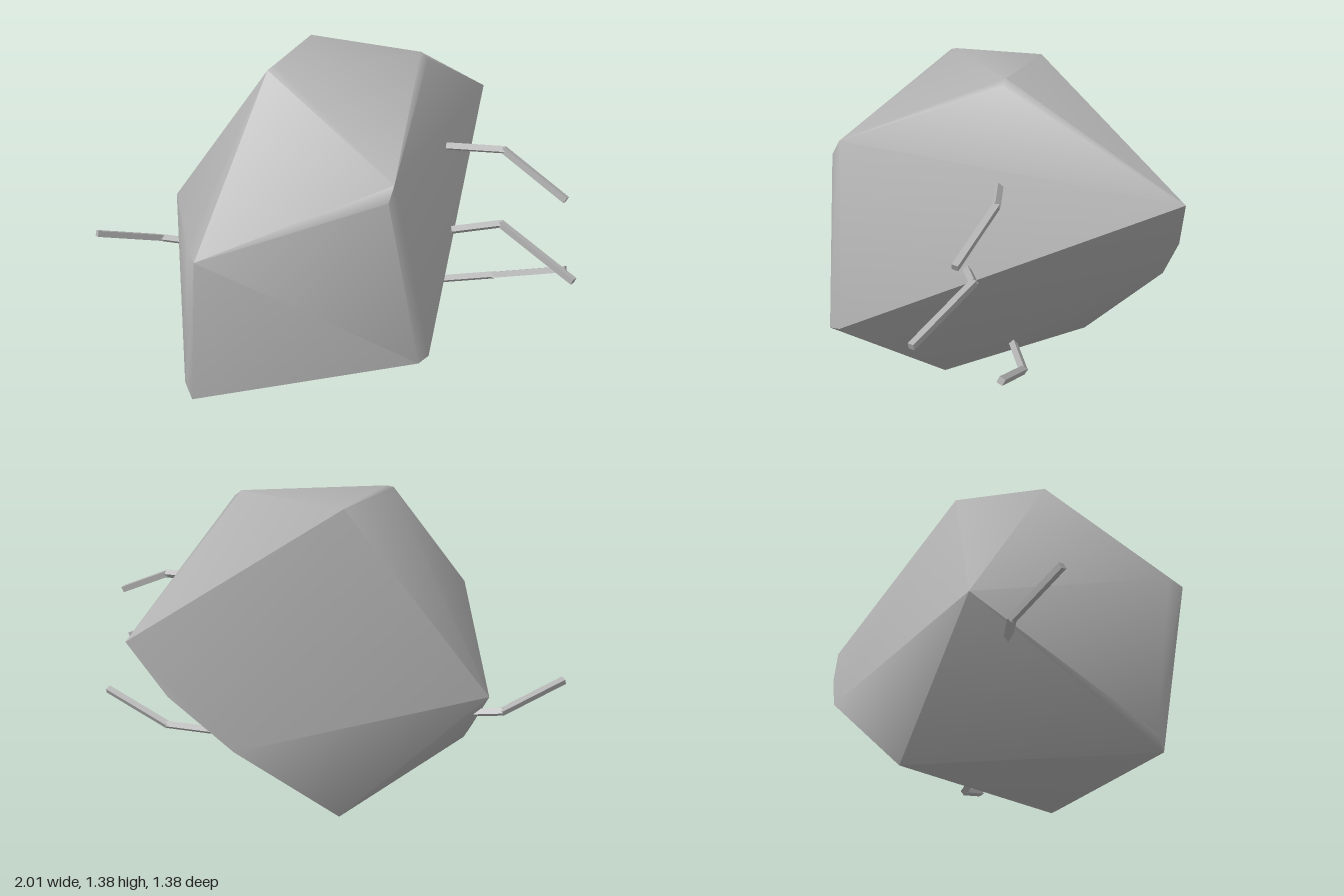
import * as THREE from 'three';
import { toCreasedNormals } from 'three/addons/utils/BufferGeometryUtils.js';
import { ConvexGeometry } from 'three/addons/geometries/ConvexGeometry.js';

const grey = new THREE.MeshStandardMaterial({ color: 0xb0b0b0 });
grey.name = 'stoneGrey';

const vec = (p) => new THREE.Vector3(...p);

// Corner points of the boulder; close pairs make the chipped corners
const corners = [
  // front face
  [-0.56, 0.065, 0.55], [-0.59, 0.13, 0.52],
  [-0.50, 0.80, 0.68], [-0.53, 0.82, 0.62],
  [0.25, 1.12, 0.63], [0.23, 1.06, 0.66],
  [0.40, 0.38, 0.65], [0.36, 0.37, 0.69],
  // underside
  [0.02, 0.005, 0.22], [-0.02, 0, 0.23], [-0.12, 0.13, -0.41],
  // left-hand point
  [-0.70, 0.62, -0.20],
  // top
  [-0.25, 1.375, 0.17], [-0.22, 1.385, 0.15], [-0.10, 1.38, -0.20],
  [0.38, 1.36, -0.01], [0.35, 1.385, -0.02],
  // back
  [0.66, 0.96, -0.675], [0.50, 0.75, -0.69], [0.25, 0.53, -0.68],
];

// Root, elbow and tip of each bent stick
const sticks = {
  upperStick: [[0.47, 0.985, 0.015], [0.70, 0.985, 0.04], [0.945, 0.845, 0.20]],
  middleStick: [[0.50, 0.66, 0.14], [0.70, 0.685, 0.125], [0.98, 0.56, 0.36]],
  lowerStick: [[0.40, 0.295, -0.05], [0.70, 0.32, -0.065], [0.995, 0.42, 0.04]],
  farStick: [[-0.52, 0.46, -0.04], [-0.75, 0.487, -0.045], [-0.995, 0.585, 0.10]],
};

// Square rod between two points
function rod(from, to, name) {
  const a = vec(from), b = vec(to);
  const dir = b.clone().sub(a);
  const geo = new THREE.CylinderGeometry(0.018, 0.018, dir.length() + 0.008, 4);
  const mesh = new THREE.Mesh(toCreasedNormals(geo, 0.5), grey);
  mesh.position.copy(a).add(b).multiplyScalar(0.5);
  mesh.quaternion.setFromUnitVectors(new THREE.Vector3(0, 1, 0), dir.normalize());
  mesh.name = name;
  return mesh;
}

export function createModel() {
  const model = new THREE.Group();
  model.name = 'boulderWithSticks';

  // Boulder body: soft shallow edges, sharp steep ones
  const body = new THREE.Mesh(
    toCreasedNormals(new ConvexGeometry(corners.map(vec)), 0.85), grey);
  body.name = 'boulder';
  model.add(body);

  // Bent sticks
  for (const [name, [root, elbow, tip]] of Object.entries(sticks)) {
    const stick = new THREE.Group();
    stick.name = name;
    stick.add(rod(root, elbow, 'innerRod'), rod(elbow, tip, 'outerRod'));
    model.add(stick);
  }
  return model;
}
